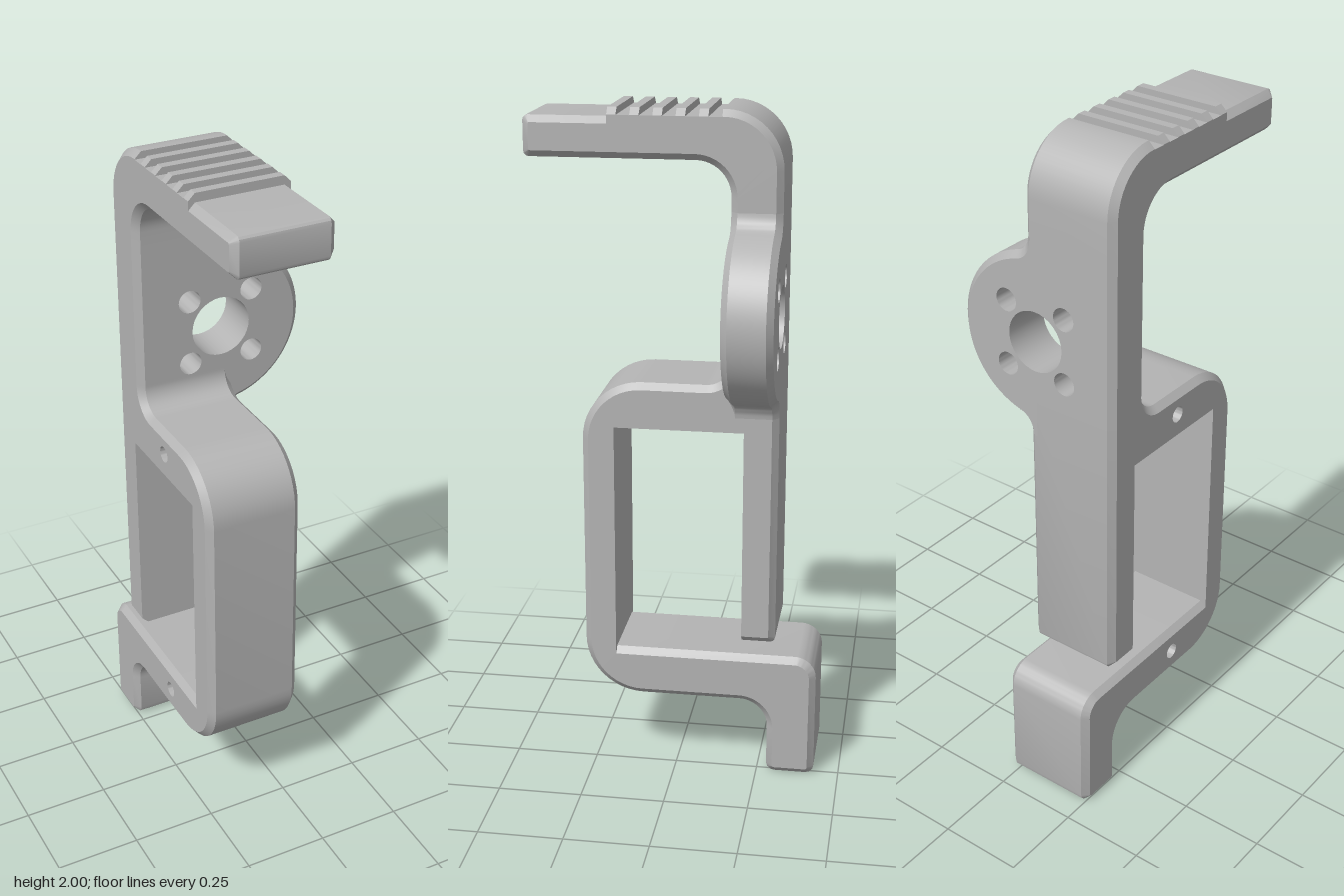
import * as THREE from 'three';
import { toCreasedNormals } from 'three/addons/utils/BufferGeometryUtils.js';

const C = 0.019; // chamfer size
const V = (x, y) => new THREE.Vector2(x, y);

// Right-angled outline: corners are [u, v, radius, is the next edge chamfered], counter-clockwise.
function outline(corners, c) {
  const n = corners.length;
  const pos = corners.map(([u, v]) => V(u, v));
  const shift = corners.map((k, i) => {
    const d = pos[(i + 1) % n].clone().sub(pos[i]).normalize();
    return V(-d.y, d.x).multiplyScalar(k[3] ? c : 0);
  });
  const moved = pos.map((p, i) => p.clone().add(shift[i]).add(shift[(i + n - 1) % n]));
  const points = [];
  corners.forEach(([, , r], i) => {
    const p = moved[i];
    if (!r) { points.push(p); return; }
    const prev = moved[(i + n - 1) % n].clone().sub(p).normalize();
    const next = moved[(i + 1) % n].clone().sub(p).normalize();
    const radius = prev.cross(next) < 0 ? Math.max(r - c, 0.004) : r + c;
    const steps = r < 0.03 ? 3 : 12;
    for (let s = 0; s <= steps; s++) {
      const t = (s / steps) * Math.PI / 2;
      points.push(p.clone()
        .addScaledVector(prev, radius * (1 - Math.sin(t)))
        .addScaledVector(next, radius * (1 - Math.cos(t))));
    }
  });
  return points;
}

// Clockwise circle, used for holes
function circle([u, v, r]) {
  return Array.from({ length: 32 }, (_, i) => {
    const t = -i / 32 * Math.PI * 2;
    return V(u + r * Math.cos(t), v + r * Math.sin(t));
  });
}

// Chamfered solid between w0 and w1. A hole goes in from w1, right through unless a depth is given.
function chamferedSolid(profile, w0, w1, holes = [], depth = 0) {
  const out = [];
  const put = (p, w) => out.push(p.x, p.y, w);
  const wall = (a, wa, b, wb) => a.forEach((p, i) => {
    const j = (i + 1) % a.length;
    put(p, wa); put(a[j], wa); put(b[j], wb);
    put(p, wa); put(b[j], wb); put(b[i], wb);
  });
  const cap = (contour, inner, w, flip) => {
    const all = contour.concat(...inner);
    for (const f of THREE.ShapeUtils.triangulateShape(contour, inner)) {
      (flip ? [f[0], f[2], f[1]] : f).forEach(i => put(all[i], w));
    }
  };
  const full = profile(0), inset = profile(C), rings = holes.map(circle);
  wall(inset, w0, full, w0 + C);
  wall(full, w0 + C, full, w1 - C);
  wall(full, w1 - C, inset, w1);
  cap(inset, depth ? [] : rings, w0, true);
  cap(inset, rings, w1, false);
  for (const ring of rings) {
    const floor = depth ? w1 - depth : w0;
    wall(ring, floor, ring, w1);
    if (depth) cap(ring.slice().reverse(), [], floor, false);
  }
  const g = new THREE.BufferGeometry();
  g.setAttribute('position', new THREE.Float32BufferAttribute(out, 3));
  return toCreasedNormals(g, 0.5);
}

// Plate with the round lobe, seen from the front
function lobeOutline(c) {
  const R = 0.255 - c, cy = 1.425, right = 0.03 - c;
  const onArc = a => V(R * Math.cos(a), cy + R * Math.sin(a));
  const a0 = -1.33, a1 = 1.29;
  const points = [V(-0.26 + c, 1.72), V(-0.26 + c, 1.29), V(0, 1.29), V(0, 1.13)];
  points.push(...new THREE.QuadraticBezierCurve(
    V(right, 1.13), V(right + 0.003, 1.165 + c), onArc(a0)).getPoints(6));
  for (let i = 1; i < 40; i++) points.push(onArc(a0 + (a1 - a0) * i / 40));
  points.push(...new THREE.QuadraticBezierCurve(
    onArc(a1), V(right + 0.004, 1.68 - c), V(right, 1.72)).getPoints(8));
  return points;
}

export function createModel() {
  const group = new THREE.Group();
  const grey = new THREE.MeshStandardMaterial({ color: 0xb4b4b4 });
  grey.name = 'grey';
  const add = (name, geometry) => {
    const mesh = new THREE.Mesh(geometry, grey);
    mesh.name = name;
    group.add(mesh);
  };

  // Upper arm with grip ribs, drawn as z and y
  const arm = [
    [-0.155, 1.72, 0, 1], [-0.155, 1.86, 0.1, 1], [0.43, 1.86, 0.015, 1],
    [0.43, 1.975, 0.015, 1], [0.19, 1.975, 0, 0],
  ];
  for (let i = 0; i < 5; i++) {
    const z = 0.19 - i * 0.064;
    const nextZ = i < 4 ? z - 0.064 : -0.13;
    arm.push([z, 2, 0, 1], [z - 0.026, 2, 0, 0], [z - 0.026, 1.98, 0, 0], [nextZ, 1.98, 0, 0]);
  }
  arm.push([-0.13, 2, 0, 1], [-0.3, 2, 0.165, 1], [-0.3, 1.72, 0, 0]);

  // Lower bracket: back strip, open loop and foot
  const bracket = [
    [-0.3, 1.29, 0, 1], [-0.3, 0.43, 0.015, 1], [-0.2, 0.43, 0, 0], [-0.2, 1.085, 0, 0],
    [0.18, 1.085, 0, 0], [0.18, 0.385, 0, 1], [-0.425, 0.385, 0.065, 1],
    [-0.425, 0, 0.025, 1], [-0.28, 0, 0.025, 1], [-0.28, 0.235, 0.085, 1],
    [0.275, 0.235, 0.175, 1], [0.275, 1.22, 0.175, 1], [-0.155, 1.22, 0.066, 1],
    [-0.155, 1.29, 0, 0],
  ];

  const sideways = g => g.rotateY(-Math.PI / 2);
  add('upperArm', sideways(chamferedSolid(c => outline(arm, c), -0.03, 0.26)));
  add('lowerBracket', sideways(chamferedSolid(c => outline(bracket, c), -0.03, 0.26,
    [[0, 1.152, 0.024], [0, 0.31, 0.024]], 0.12)));

  // Round mounting plate with a centre hole and four screw holes
  const holes = [[0, 1.425, 0.09]];
  for (const sx of [-1, 1]) for (const sy of [-1, 1]) {
    holes.push([sx * 0.097, 1.425 + sy * 0.097, 0.034]);
  }
  add('mountingPlate', chamferedSolid(lobeOutline, -0.3, -0.155, holes));
  return group;
}
